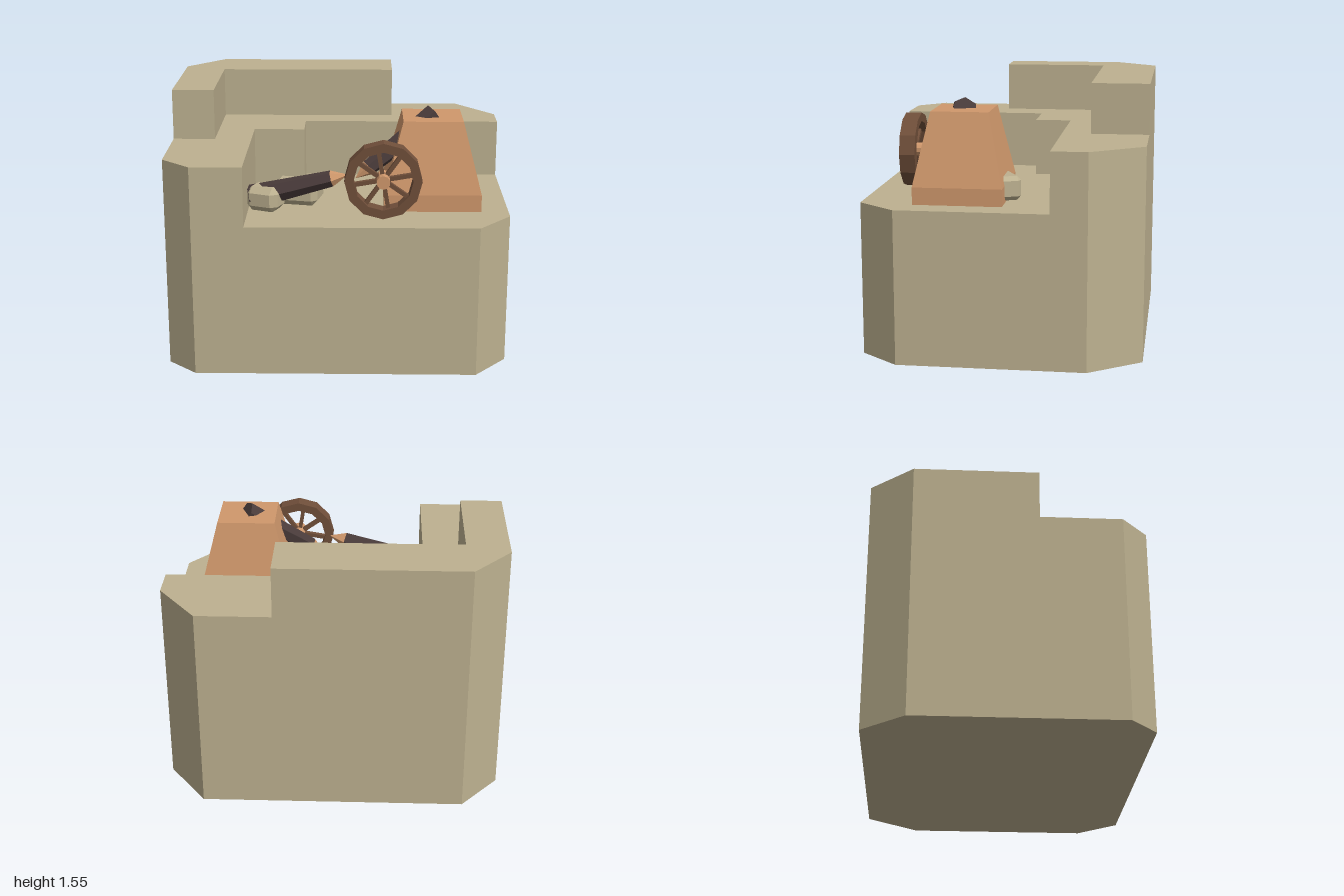
import * as THREE from 'three';
import { ConvexGeometry } from 'three/addons/geometries/ConvexGeometry.js';

const material = (name, color) => {
  const m = new THREE.MeshStandardMaterial({ color, flatShading: true });
  m.name = name;
  return m;
};

export function createModel() {
  const stone = material('sandstone', 0xbdb190);
  const clay = material('clay', 0xd0986c);
  const darkWood = material('dark wood', 0x493b3a);
  const wheelWood = material('wheel wood', 0x704f3a);
  const model = new THREE.Group();
  model.name = 'ruinedOutpost';

  const add = (name, geometry, mat, parent = model) => {
    const mesh = new THREE.Mesh(geometry, mat);
    mesh.name = name;
    parent.add(mesh);
    return mesh;
  };

  // Stepped rock: plan outlines (x, z) extruded upward
  const layer = (name, points, y0, y1) => {
    const shape = new THREE.Shape(points.map(([x, z]) => new THREE.Vector2(x, -z)));
    const g = new THREE.ExtrudeGeometry(shape, { depth: y1 - y0, bevelEnabled: false });
    g.rotateX(-Math.PI / 2).translate(0, y0, 0);
    add(name, g, stone);
  };
  const west = [[-0.83, 0.81], [-1, 0.65], [-1, -0.56], [-0.78, -0.815]];
  const east = [[0.77, -0.815], [1, -0.51]];
  layer('rockBase', [...west, ...east, [1, 0.58], [0.81, 0.81]], 0, 0.9);
  layer('rockLedge', [...west, ...east, [1, -0.3], [-0.22, -0.3], [-0.22, -0.08],
    [-0.53, -0.08], [-0.53, 0.81]], 0.9, 1.25);
  layer('rockCrest', [[-1, 0.17], [-1, -0.56], [-0.78, -0.815], [0.33, -0.815],
    [0.33, -0.47], [-0.75, -0.47], [-0.75, 0.17]], 1.25, 1.55);

  // Clay hut: short upright plinth with a tapering block on top
  const hutCentre = [0.555, 0.245];
  const plinth = add('hutPlinth', new THREE.BoxGeometry(0.57, 0.1, 0.515), clay);
  plinth.position.set(hutCentre[0], 0.95, hutCentre[1]);
  const taper = new THREE.BoxGeometry(0.57, 0.42, 0.515);
  const p = taper.attributes.position;
  for (let i = 0; i < p.count; i++) {
    if (p.getY(i) > 0) p.setXYZ(i, p.getX(i) * 0.615, p.getY(i), p.getZ(i) * 0.65);
  }
  taper.computeVertexNormals();
  add('hutBody', taper, clay).position.set(hutCentre[0], 1.21, hutCentre[1]);

  // Sharpened six-sided stakes, running from butt end to tip
  const stake = (name, butt, tip) => {
    const a = new THREE.Vector3(...butt);
    const dir = new THREE.Vector3(...tip).sub(a);
    const length = dir.length();
    const body = length - 0.1;
    const group = new THREE.Group();
    group.name = name;
    add('shaft', new THREE.CylinderGeometry(0.048, 0.073, body, 6).translate(0, body / 2, 0),
      darkWood, group);
    add('point', new THREE.ConeGeometry(0.048, 0.1, 6).translate(0, body + 0.05, 0), clay, group);
    group.position.copy(a);
    group.quaternion.setFromUnitVectors(new THREE.Vector3(0, 1, 0), dir.normalize());
    model.add(group);
  };
  stake('fallenStake', [-0.51, 0.98, 0.48], [0.06, 1.135, 0.54]);
  stake('hutStake', [0.57, 1.42, 0.24], [0.1, 1.08, 0.425]);

  // Spoked wheel
  const wheel = new THREE.Group();
  wheel.name = 'wheel';
  wheel.position.set(0.262, 1.125, 0.607);
  model.add(wheel);
  const ring = (r) => Array.from({ length: 12 }, (_, i) => {
    const a = (i * Math.PI) / 6;
    return new THREE.Vector2(r * Math.cos(a), r * Math.sin(a));
  });
  const rimShape = new THREE.Shape(ring(0.224));
  rimShape.holes.push(new THREE.Path(ring(0.172)));
  add('rim', new THREE.ExtrudeGeometry(rimShape, { depth: 0.094, bevelEnabled: false })
    .translate(0, 0, -0.047), wheelWood, wheel);
  for (let i = 0; i < 8; i++) {
    const spoke = new THREE.BoxGeometry(0.155, 0.024, 0.03).translate(0.1, 0, 0);
    add('spoke', spoke, wheelWood, wheel).rotation.z = 0.17 + (i * Math.PI) / 4;
  }
  add('hub', new THREE.CylinderGeometry(0.04, 0.04, 0.138, 10).rotateX(Math.PI / 2), clay, wheel);

  // Loose boulders: boxes with cut edges and corners
  const boulder = (name, [w, h, d], position, rotation, c = 0.035) => {
    const points = [];
    for (const sx of [-1, 1]) for (const sy of [-1, 1]) for (const sz of [-1, 1]) {
      for (let k = 0; k < 3; k++) {
        const inset = [0, 1, 2].map((j) => (j === k ? 0 : c));
        points.push(new THREE.Vector3(sx * (w / 2 - inset[0]), sy * (h / 2 - inset[1]),
          sz * (d / 2 - inset[2])));
      }
    }
    const mesh = add(name, new ConvexGeometry(points), stone);
    mesh.position.set(...position);
    mesh.rotation.set(...rotation);
  };
  boulder('largeBoulder', [0.29, 0.13, 0.22], [-0.25, 0.965, 0.297], [0, -0.2, 0]);
  boulder('smallBoulder', [0.2, 0.145, 0.16], [-0.425, 0.985, 0.5], [0, -0.4, 0]);
  boulder('rearBoulder', [0.25, 0.14, 0.2], [0.61, 0.98, 0.035], [0, 0.45, 0], 0.025);

  return model;
}
